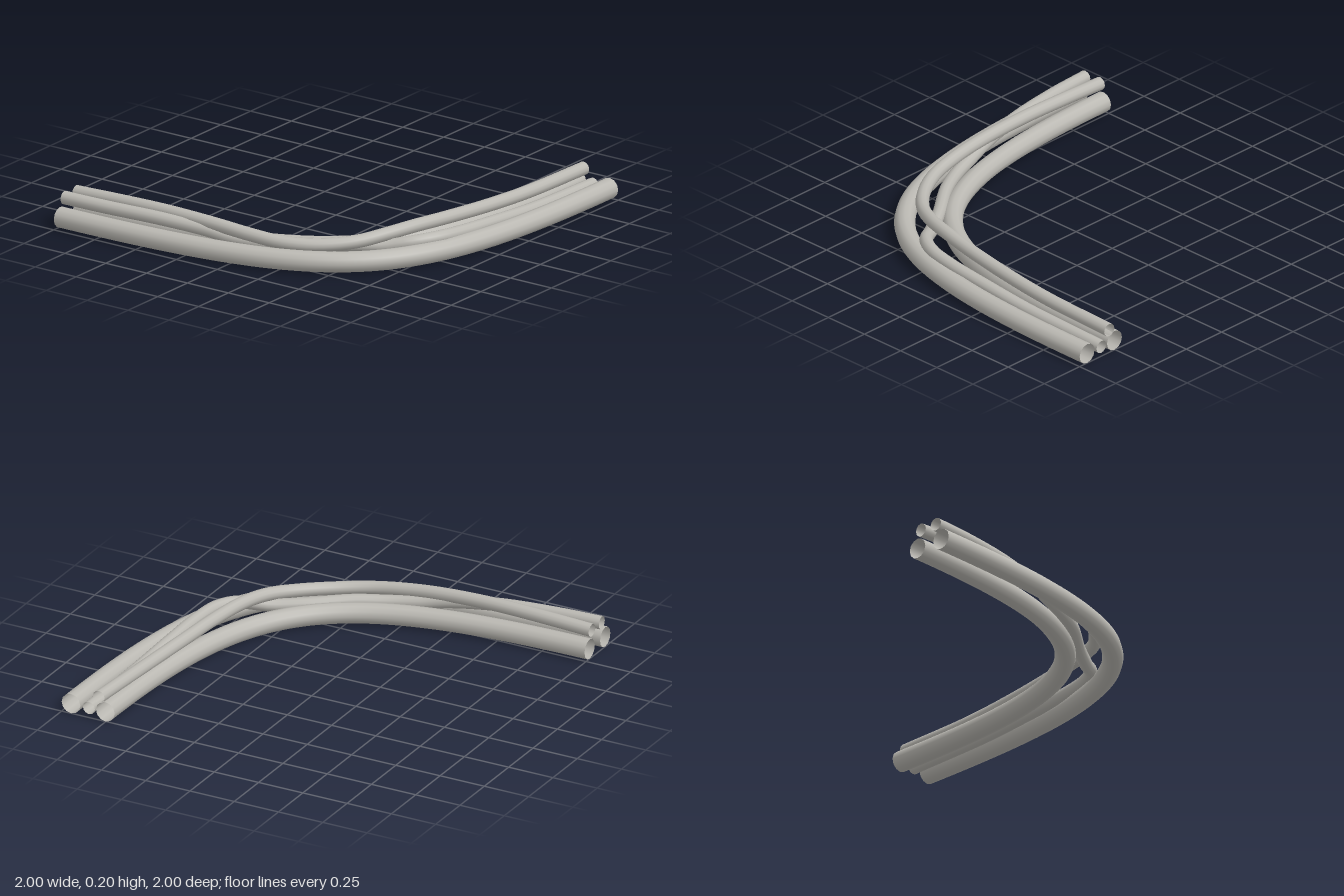
import * as THREE from 'three';

const v = (x, y, z) => new THREE.Vector3(x, y, z);

export function createModel() {
  const group = new THREE.Group();
  group.name = 'pipeBundle';
  const grey = new THREE.MeshStandardMaterial({ color: 0xbab8b2, side: THREE.DoubleSide });
  grey.name = 'warm grey';

  // Open-ended hose swept along a curve
  function hose(name, curve, radius) {
    const mesh = new THREE.Mesh(new THREE.TubeGeometry(curve, 80, radius, 12, false), grey);
    mesh.name = name;
    group.add(mesh);
  }

  const R = 0.053, r = 0.034;

  // Two thick pipes lying on the ground, bent through a quarter turn
  hose('outerPipe', new THREE.CubicBezierCurve3(
    v(-1, R, 0.947), v(0.67, R, 0.947), v(0.947, R, 0.67), v(0.947, R, -1)), R);
  hose('innerPipe', new THREE.CubicBezierCurve3(
    v(-1, R, 0.787), v(0.5, R, 0.787), v(0.753, R, 0.42), v(0.753, R, -1)), R);

  // Thin cable riding on top, swinging from the inner pipe outwards and back
  hose('upperCable', new THREE.CatmullRomCurve3([
    v(-1, 0.146, 0.81), v(-0.75, 0.155, 0.812), v(-0.45, 0.161, 0.813), v(-0.15, 0.152, 0.808),
    v(0.05, 0.136, 0.795), v(0.22, 0.121, 0.762), v(0.38, 0.115, 0.68), v(0.52, 0.125, 0.55),
    v(0.61, 0.145, 0.4), v(0.66, 0.152, 0.25), v(0.7, 0.145, 0.05), v(0.737, 0.13, -0.25),
    v(0.765, 0.122, -0.55), v(0.79, 0.125, -1),
  ]), r);

  // Thin cable that drops between the pipes and passes under the upper cable
  hose('lowerCable', new THREE.CatmullRomCurve3([
    v(-1, 0.145, 0.912), v(-0.75, 0.143, 0.9), v(-0.45, 0.137, 0.866), v(-0.2, 0.117, 0.82),
    v(-0.05, 0.092, 0.785), v(0.1, 0.083, 0.735), v(0.26, 0.088, 0.648), v(0.45, 0.083, 0.51),
    v(0.6, 0.083, 0.415), v(0.72, 0.105, 0.335), v(0.79, 0.112, 0.225), v(0.82, 0.104, 0.07),
    v(0.834, 0.085, -0.2), v(0.842, 0.065, -0.5), v(0.846, 0.052, -1),
  ]), r);

  return group;
}
